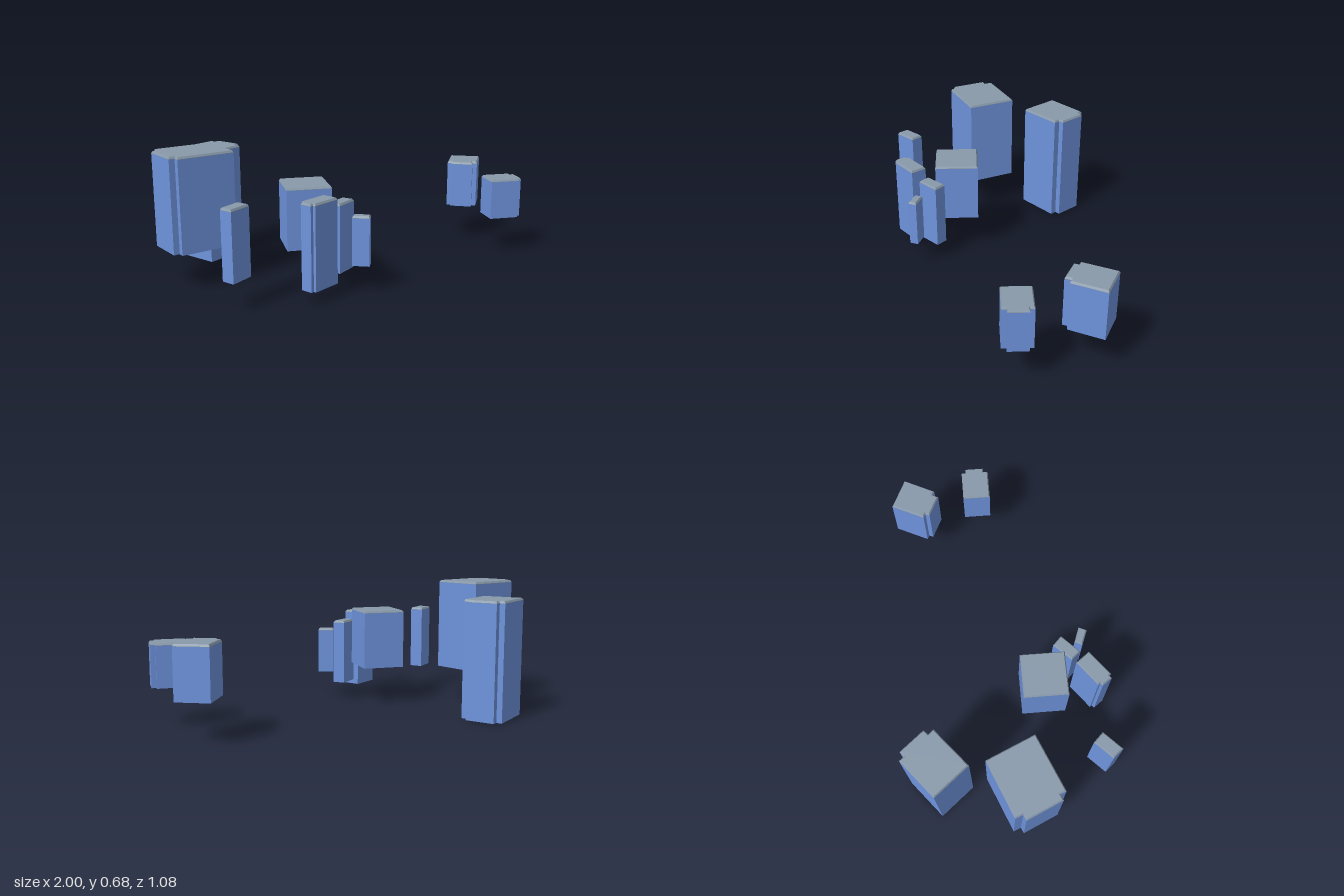
import * as THREE from 'three';

// Each tower: base height, top height, footprint corners as [x, z]
const TOWERS = [
  { name: 'largeTower', y0: 0.19, y1: 0.675, plan: [[-0.71, -0.135], [-0.605, 0.107], [-0.88, 0.225],
    [-0.892, 0.196], [-0.92, 0.208], [-0.998, 0.03], [-0.97, 0.018], [-0.985, -0.02]] },
  { name: 'tallBackTower', y0: 0, y1: 0.61, plan: [[-0.853, -0.385], [-0.666, -0.54], [-0.648, -0.517],
    [-0.623, -0.535], [-0.527, -0.417], [-0.55, -0.397], [-0.527, -0.37], [-0.714, -0.213]] },
  { name: 'squareTower', y0: 0.2, y1: 0.515, plan: [[-0.38, 0.077], [-0.155, 0.077], [-0.155, 0.305], [-0.38, 0.305]] },
  { name: 'backRightTower', y0: 0.197, y1: 0.46, plan: [[0.773, -0.54], [0.928, -0.467], [0.848, -0.306],
    [0.826, -0.317], [0.812, -0.287], [0.703, -0.34], [0.713, -0.362], [0.692, -0.373]] },
  { name: 'rightTower', y0: 0.2, y1: 0.42, plan: [[0.815, -0.15], [0.975, -0.15], [0.975, -0.128],
    [0.998, -0.128], [0.998, -0.028], [0.975, -0.028], [0.975, -0.003], [0.815, -0.003]] },
  { name: 'frontLeftTower', y0: 0.138, y1: 0.49, plan: [[-0.712, 0.487], [-0.625, 0.4], [-0.577, 0.45], [-0.668, 0.54]] },
  { name: 'frontTower', y0: 0.06, y1: 0.49, plan: [[-0.21, 0.36], [-0.157, 0.43], [-0.283, 0.527],
    [-0.292, 0.517], [-0.305, 0.529], [-0.342, 0.479], [-0.328, 0.468], [-0.336, 0.457]] },
  { name: 'slimTower', y0: 0.093, y1: 0.445, plan: [[-0.18, 0.345], [-0.093, 0.256], [-0.046, 0.302], [-0.137, 0.391]] },
  { name: 'smallTower', y0: 0.138, y1: 0.39, plan: [[-0.065, 0.375], [0.015, 0.405], [-0.003, 0.447], [-0.083, 0.414]] },
];

const EDGE = 0.01;   // height of the sloped roof edge
const INSET = 0.006; // how far the roof edge steps in
const LIP = 0.002;   // upright part of the roof edge

export function createModel() {
  const wallBlue = new THREE.MeshStandardMaterial({ name: 'wallBlue', color: 0x6e93dc });
  const roofGrey = new THREE.MeshStandardMaterial({ name: 'roofGrey', color: 0x8899aa });
  const model = new THREE.Group();
  model.name = 'towerCluster';

  // Extrude a footprint upward from the given height
  const part = (name, shape, y, options, material) => {
    const geometry = new THREE.ExtrudeGeometry(shape, options);
    geometry.rotateX(-Math.PI / 2);
    const mesh = new THREE.Mesh(geometry, material);
    mesh.name = name;
    mesh.position.y = y;
    return mesh;
  };

  for (const { name, y0, y1, plan } of TOWERS) {
    const shape = new THREE.Shape(plan.map(([x, z]) => new THREE.Vector2(x, -z)));
    const tower = new THREE.Group();
    tower.name = name;

    // Walls and underside
    const wallTop = y1 - EDGE - LIP;
    tower.add(part('walls', shape, y0, { depth: wallTop - y0, bevelEnabled: false }, wallBlue));

    // Roof slab with a narrow sloped edge
    tower.add(part('roof', shape, wallTop, {
      depth: LIP, bevelEnabled: true, bevelSegments: 1,
      bevelThickness: EDGE, bevelSize: INSET, bevelOffset: -INSET,
    }, roofGrey));
    model.add(tower);
  }
  return model;
}
